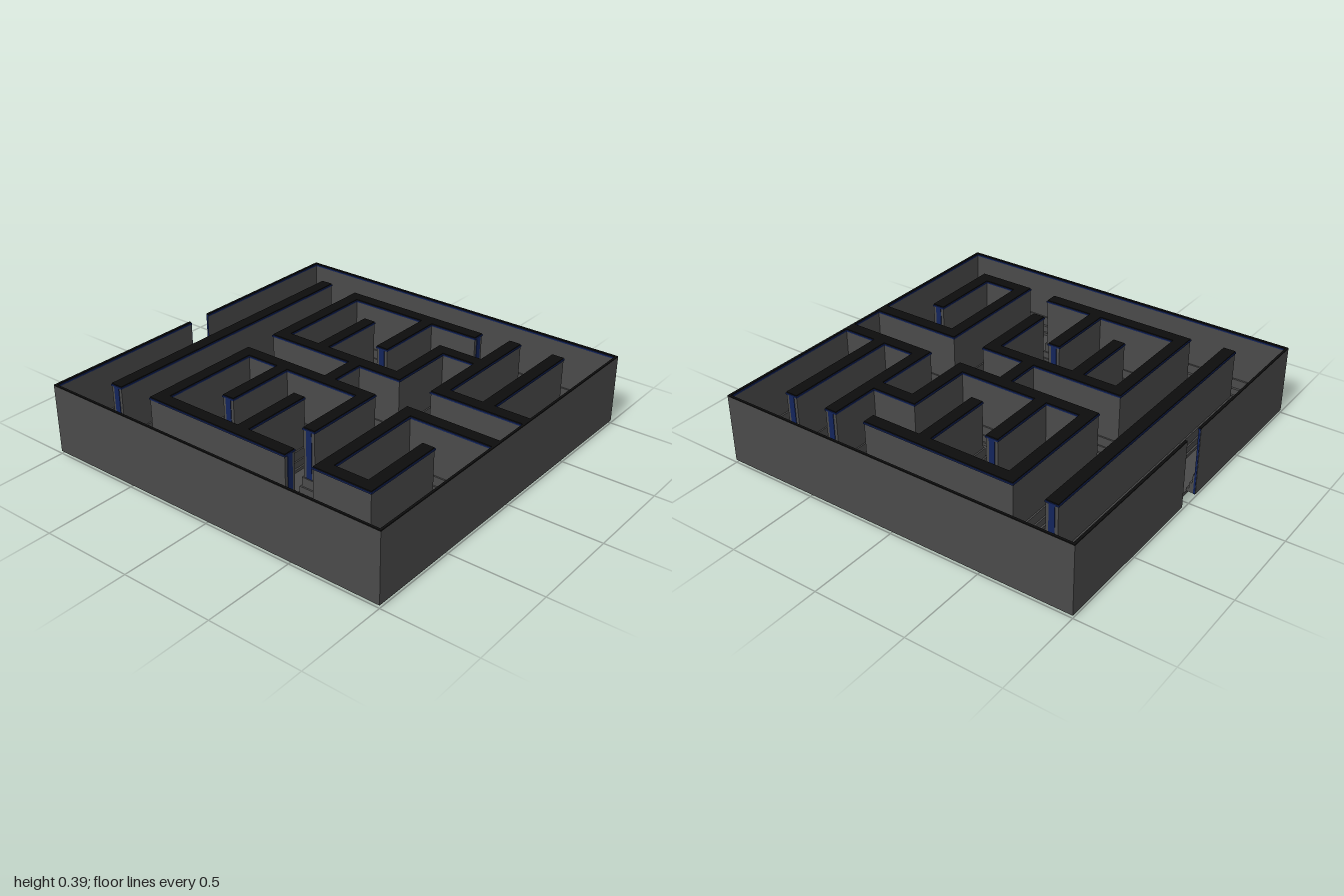
import * as THREE from 'three';

const mats = {
  gray: new THREE.MeshStandardMaterial({ name: 'charcoal gray', color: 0x4a4a4a }),
  black: new THREE.MeshStandardMaterial({ name: 'black', color: 0x0d0d0d }),
  blue: new THREE.MeshStandardMaterial({ name: 'dark blue', color: 0x13245c }),
};
const HALF = 0.033;                   // half thickness of maze walls
const BASE = 0.015, RIM = 0.376, CAP = 0.384, TOP = 0.39;

// Box from x and z ranges, kept inside the tray outline
function block(parent, name, mat, [x0, x1, z0, z1], y0, y1, limit = 1) {
  const c = v => THREE.MathUtils.clamp(v, -limit, limit);
  const [a, b, d, e] = [x0, x1, z0, z1].map(c);
  const mesh = new THREE.Mesh(new THREE.BoxGeometry(b - a, y1 - y0, e - d), mat);
  mesh.position.set((a + b) / 2, (y0 + y1) / 2, (d + e) / 2);
  mesh.name = name;
  parent.add(mesh);
}

const grow = ([x0, x1, z0, z1], x, z = x) => [x0 - x, x1 + x, z0 - z, z1 + z];

// One wall: body, blue rim, black cap and a stepped skirting
function wall(parent, name, rect, steps, growX = 1, growZ = 1) {
  const g = new THREE.Group();
  g.name = name;
  block(g, 'wallBody', mats.gray, rect, BASE, CAP);
  block(g, 'wallRim', mats.blue, grow(rect, 0.004 * growX, 0.004 * growZ), RIM, CAP, 0.999);
  block(g, 'wallCap', mats.black, rect, CAP, TOP);
  for (const [offset, height] of steps)
    block(g, 'skirtingStep', mats.gray, grow(rect, offset * growX, offset * growZ), BASE, height);
  parent.add(g);
}

export function createModel() {
  const model = new THREE.Group();
  model.name = 'mazeTray';

  // Floor plate, slightly inset under the outer walls
  block(model, 'floor', mats.gray, [-0.952, 0.952, -0.952, 0.952], 0, 0.02);

  // Outer walls, with an entrance gap in the back
  const outer = [[0.01, 0.12], [0.025, 0.07], [0.038, 0.035]];
  const T = 0.988, GAP = 0.065;
  wall(model, 'frontWall', [-1, 1, T, 1], outer);
  for (const s of [-1, 1]) {
    const range = (a, b) => (s > 0 ? [a, b] : [-b, -a]);
    wall(model, s > 0 ? 'leftWall' : 'rightWall', [...range(T, 1), -1, 1], outer);
    wall(model, 'backWall', [...range(GAP, 1), -1, -T], outer, 0, 1);
    block(model, 'entranceEdge', mats.blue, [...range(GAP - 0.003, GAP), -0.998, -T], BASE, CAP);
  }

  // Maze walls along x: start, end, z
  const across = [
    [-0.81, 0.81, -0.76], [-0.13, 0.13, 0],
    [-0.793, -0.1, -0.51], [-0.555, -0.13, -0.255], [-0.793, -0.33, 0], [-0.555, -0.1, 0.25],
    [0.1, 0.793, -0.51], [0.13, 0.555, -0.255], [0.33, 0.793, 0], [0.1, 0.538, 0.25],
    [-0.793, -0.1, 0.505], [-0.793, -0.33, 0.76], [0.1, 0.81, 0.505], [0.13, 0.81, 0.76],
  ];
  // Maze walls along z: start, end, x
  const along = [
    [-0.543, 0.31, -0.76], [-0.543, 0.283, -0.13], [-0.543, 0.31, 0.76], [-0.543, 0.283, 0.13],
    [0.217, 0.538, 0.505], [0.472, 0.793, -0.76], [0.472, 0.995, -0.13], [0.472, 0.995, 0.13],
  ];
  const inner = [[0.008, 0.12], [0.016, 0.07], [0.026, 0.035]];
  for (const [a, b, z] of across) wall(model, 'mazeWall', [a, b, z - HALF, z + HALF], inner);
  for (const [a, b, x] of along) wall(model, 'mazeWall', [x - HALF, x + HALF, a, b], inner);

  // Blue strips on the free ends of the maze walls
  const endsX = [
    [-0.81, -0.76], [0.81, -0.76], [-0.555, -0.255], [0.555, -0.255], [-0.33, 0], [0.33, 0],
    [-0.555, 0.25], [-0.33, 0.76], [0.81, 0.505], [0.81, 0.76],
  ];
  for (const [x, z] of endsX)
    block(model, 'wallEndStrip', mats.blue, [x - 0.003, x + 0.003, z - 0.016, z + 0.016], BASE, CAP);
  for (const x of [-0.76, 0.76])
    block(model, 'wallEndStrip', mats.blue, [x - 0.016, x + 0.016, 0.307, 0.313], BASE, CAP);

  return model;
}
